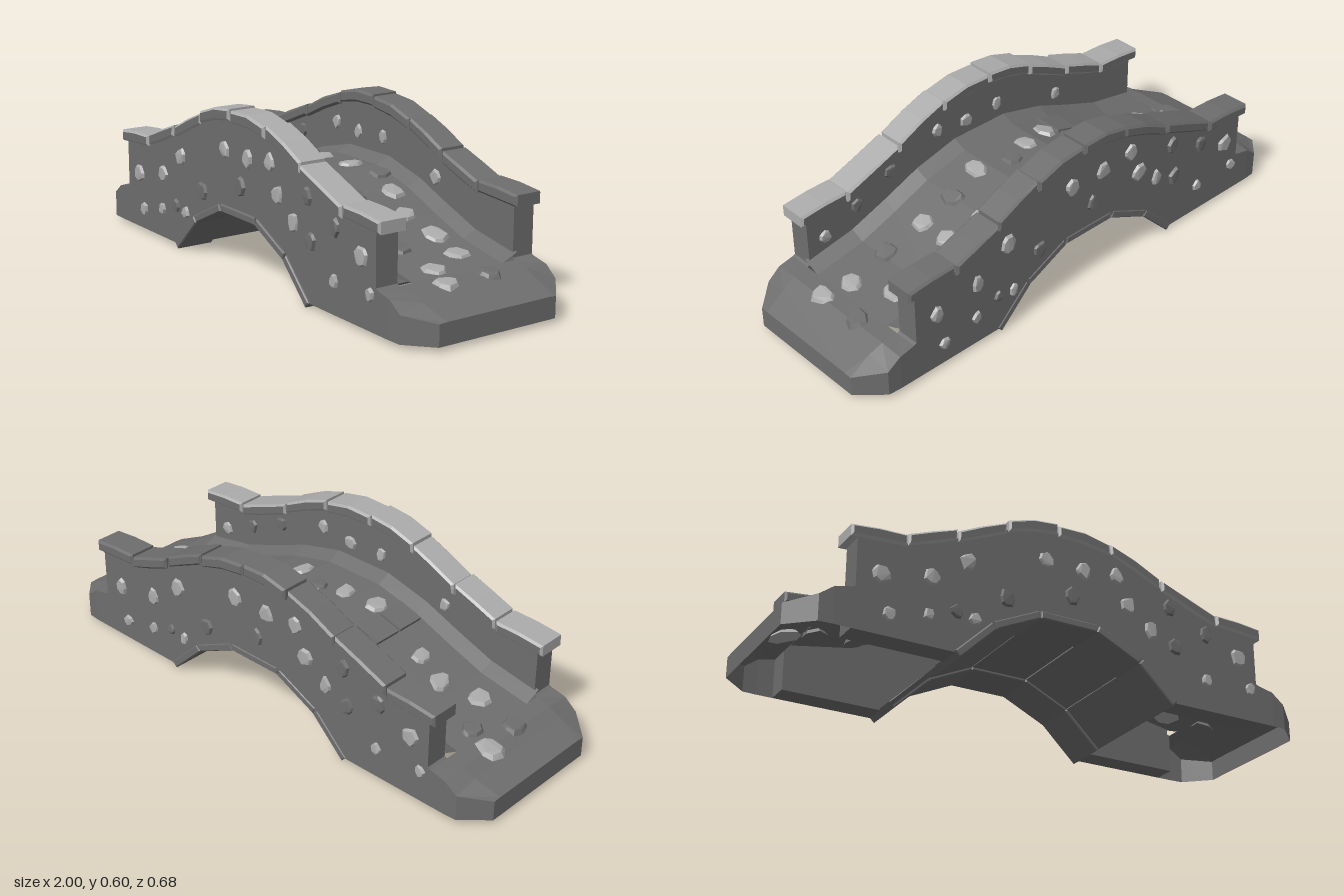
import * as THREE from 'three';
import { ConvexGeometry } from 'three/addons/geometries/ConvexGeometry.js';

const mat = (name, color, extra = {}) => {
  const m = new THREE.MeshStandardMaterial({ color, ...extra });
  m.name = name;
  return m;
};

// Half profiles, mirrored in x: [x, y]
const mirror = (half) => [...half.map(([x, y]) => [-x, y]).reverse(), ...half];
const DECK = mirror([[0.12, 0.36], [0.3, 0.315], [0.45, 0.255], [0.6, 0.2], [0.8, 0.163], [0.86, 0.157], [1, 0.097]]);
const CAP_TOP = mirror([[0.06, 0.592], [0.2, 0.568], [0.42, 0.47], [0.6, 0.4], [0.82, 0.386]]);
const ARCH = mirror([[0.11, 0.215], [0.28, 0.135], [0.415, 0.004]]);

// Height on a profile at x
function heightAt(profile, x) {
  for (let i = 1; i < profile.length; i++) {
    const [x0, y0] = profile[i - 1], [x1, y1] = profile[i];
    if (x <= x1) return y0 + (y1 - y0) * (x - x0) / (x1 - x0);
  }
  return profile[profile.length - 1][1];
}

// Flat-shaded skin over cross-sections: each section is { x, pts: [[z, y], ...] }
function loft(sections) {
  const pos = [];
  const n = sections[0].pts.length;
  const at = (i, j) => [sections[i].x, sections[i].pts[j][1], sections[i].pts[j][0]];
  for (let i = 0; i < sections.length - 1; i++) {
    for (let j = 0; j < n - 1; j++) {
      const a = at(i, j), b = at(i + 1, j), c = at(i + 1, j + 1), d = at(i, j + 1);
      pos.push(...a, ...b, ...c, ...a, ...c, ...d);
    }
  }
  const g = new THREE.BufferGeometry();
  g.setAttribute('position', new THREE.Float32BufferAttribute(pos, 3));
  g.computeVertexNormals();
  return g;
}

// Polygon in x/y extruded from z0 to z1, with an optional chamfer kept inside the depth
function slab(points, z0, z1, bevel = 0) {
  const shape = new THREE.Shape(points.map(([x, y]) => new THREE.Vector2(x, y)));
  const g = new THREE.ExtrudeGeometry(shape, {
    depth: z1 - z0 - 2 * bevel, bevelEnabled: bevel > 0, bevelSize: bevel,
    bevelThickness: bevel, bevelOffset: -bevel, bevelSegments: 1,
  });
  return g.translate(0, 0, z0 + bevel);
}

let seed = 7;
const rand = () => (seed = (seed * 16807) % 2147483647) / 2147483647;

// Irregular faceted stone, facing +z
function stoneGeometry(r, h) {
  const pts = [], turn = rand() * 6.28, stretch = 0.75 + rand() * 0.25;
  for (let i = 0; i < 7; i++) {
    const a = turn + (i + rand() * 0.5) / 7 * Math.PI * 2;
    const k = r * (0.82 + rand() * 0.3);
    const x = Math.cos(a) * k * stretch, y = Math.sin(a) * k;
    pts.push(new THREE.Vector3(x, y, -0.015));
    pts.push(new THREE.Vector3(x * 0.65, y * 0.65, h * (0.6 + rand() * 0.5)));
  }
  return new ConvexGeometry(pts);
}

export function createModel() {
  const bridge = new THREE.Group();
  bridge.name = 'stoneBridge';
  const wall = mat('darkStone', 0x6e6e6e, { side: THREE.DoubleSide });
  const light = mat('lightStone', 0xacacac);
  const add = (name, geometry, material, parent = bridge) => {
    const m = new THREE.Mesh(geometry, material);
    m.name = name;
    parent.add(m);
    return m;
  };

  // Walkway with sloped gutters against the walls
  const walk = DECK.filter(([x]) => Math.abs(x) <= 0.8);
  add('deck', loft(walk.map(([x, y]) => ({
    x, pts: [[0.25, y + 0.028], [0.185, y], [-0.185, y], [-0.25, y + 0.028]],
  }))), wall);

  // Chamfered hollow landings at both ends: [x, half width, side top, deck half width, deck y]
  const landing = [
    [0.8, 0.325, 0.165, 0.24, 0.165], [0.86, 0.325, 0.152, 0.235, 0.157],
    [0.91, 0.322, 0.115, 0.23, 0.135], [1, 0.24, 0.095, 0.21, 0.097], [1, 0.24, 0.02, 0.21, 0.02],
  ];
  for (const s of [1, -1]) {
    const sections = landing.map(([x, w, ys, wi, yd]) => ({
      x: x * s, pts: [[w, 0.02], [w, ys], [wi, yd], [-wi, yd], [-w, ys], [-w, 0.02]],
    }));
    if (s < 0) sections.reverse();
    add(s > 0 ? 'leftLanding' : 'rightLanding', loft(sections), wall);
  }

  // Side walls, cut out by the arch
  const top = CAP_TOP.map(([x, y]) => [Math.max(-0.79, Math.min(0.79, x)), y - 0.03]);
  const archEdge = ARCH.map(([x, y]) => [x, Math.max(0.02, y + 0.015)]);
  const outline = [[-0.8, 0.02], ...archEdge, [0.8, 0.02], [0.8, 0.165], [0.79, 0.17],
    ...top.reverse(), [-0.79, 0.17], [-0.8, 0.165]];
  add('frontWall', slab(outline, 0.24, 0.325), wall);
  add('backWall', slab(outline, -0.325, -0.24), wall);

  // Coping stones along each wall
  const joints = {
    front: [-0.82, -0.615, -0.43, -0.24, -0.04, 0.175, 0.385, 0.62, 0.82],
    back: [-0.82, -0.61, -0.38, -0.165, 0.04, 0.25, 0.43, 0.62, 0.82],
  };
  for (const side of ['front', 'back']) {
    const group = new THREE.Group();
    group.name = side + 'Coping';
    bridge.add(group);
    const cuts = joints[side];
    for (let i = 0; i < cuts.length - 1; i++) {
      const x0 = cuts[i] + 0.003, x1 = cuts[i + 1] - 0.003;
      const xm = (x0 + x1) / 2, lift = i % 2 ? 0.004 : -0.002;
      const up = (x, dy) => [x, heightAt(CAP_TOP, x) + dy + lift];
      const quad = [up(x0, -0.042), up(xm, -0.042), up(x1, -0.042), up(x1, 0), up(xm, 0.004), up(x0, 0)];
      const z = side === 'front' ? [0.222, 0.338 - (i % 3) * 0.003] : [-0.338 + (i % 3) * 0.003, -0.222];
      add('copingStone', slab(quad, ...z, 0.008), side === 'front' ? [wall, light] : wall, group);
    }
  }

  // Arch lining: outer blocks and a thinner vault between them
  const arch = new THREE.Group();
  arch.name = 'archLining';
  bridge.add(arch);
  for (let i = 0; i < ARCH.length - 1; i++) {
    const [x0, y0] = ARCH[i], [x1, y1] = ARCH[i + 1];
    const len = Math.hypot(x1 - x0, y1 - y0);
    const nx = -(y1 - y0) / len, ny = (x1 - x0) / len;
    const band = (a, b) => [[x0 + nx * a, y0 + ny * a], [x1 + nx * a, y1 + ny * a],
      [x1 + nx * b, y1 + ny * b], [x0 + nx * b, y0 + ny * b]];
    add('frontArchBlock', slab(band(0, 0.028), 0.185, 0.334, 0.004), wall, arch);
    add('backArchBlock', slab(band(0, 0.028), -0.328, -0.16, 0.004), wall, arch);
    add('vaultPanel', slab(band(0.01, 0.025), -0.165, 0.19), wall, arch);
  }

  // Stones set in the walls, outside and inside: [x, y, dark?]
  const wallStones = [
    [-0.7, 0.235], [-0.67, 0.1], [-0.53, 0.13], [-0.52, 0.27], [-0.385, 0.36], [-0.43, 0.165, 1], [-0.36, 0.155],
    [-0.24, 0.26, 1], [-0.085, 0.445], [0.015, 0.33, 1], [0.065, 0.44], [0.2, 0.455], [0.245, 0.35], [0.34, 0.28],
    [0.42, 0.385, 1], [0.44, 0.24, 1], [0.57, 0.135], [0.575, 0.315, 1], [0.715, 0.255], [0.76, 0.14],
  ];
  const studs = new THREE.Group();
  studs.name = 'wallStones';
  bridge.add(studs);
  for (const s of [1, -1]) {
    for (const [px, y, dark] of wallStones) {
      const x = px * s, m = dark ? wall : light;
      const r = y < 0.18 ? 0.032 : 0.045;
      const outer = add('outerWallStone', stoneGeometry(r, 0.011), m, studs);
      outer.position.set(x, y, 0.325 * s);
      outer.rotation.y = s > 0 ? 0 : Math.PI;
      if (y < heightAt(DECK, x) + 0.06) continue;
      const inner = add('innerWallStone', stoneGeometry(0.036, 0.01), m, studs);
      inner.position.set(x, y, 0.24 * s);
      inner.rotation.y = s > 0 ? Math.PI : 0;
    }
  }

  // Paving stones following the deck slope: [x, z, dark?]
  const paving = [
    [-0.86, -0.09], [-0.76, -0.07, 1], [-0.6, -0.1, 1], [-0.43, -0.11], [-0.84, 0.06, 1], [-0.68, 0.08], [-0.55, 0.02],
    [-0.44, 0.05], [-0.31, -0.08, 1], [-0.1, -0.1], [-0.19, 0.1], [-0.07, 0.065], [0.06, -0.11], [0.03, 0.03, 1],
    [0.18, -0.15, 1], [0.16, 0.08], [0.31, -0.11], [0.43, -0.07], [0.555, -0.1], [0.685, -0.09], [0.845, -0.09, 1],
    [0.3, 0.05, 1], [0.43, 0.06], [0.58, 0.075, 1], [0.75, 0.06], [0.85, 0.09],
  ];
  const pavers = new THREE.Group();
  pavers.name = 'pavingStones';
  bridge.add(pavers);
  for (const [x, z, dark] of paving) {
    const slope = (heightAt(DECK, x + 0.03) - heightAt(DECK, x - 0.03)) / 0.06;
    const g = stoneGeometry(0.058, 0.012).rotateX(-Math.PI / 2).rotateZ(Math.atan(slope));
    add('pavingStone', g, dark ? wall : light, pavers).position.set(x, heightAt(DECK, x), z);
  }

  // Raised joint across the deck
  for (const z of [-0.13, 0, 0.12]) {
    const joint = add('deckJoint', new THREE.BoxGeometry(0.1, 0.02, 0.11), wall);
    joint.position.set(-0.28, heightAt(DECK, -0.28), z);
    joint.rotation.z = 0.3;
  }
  return bridge;
}
